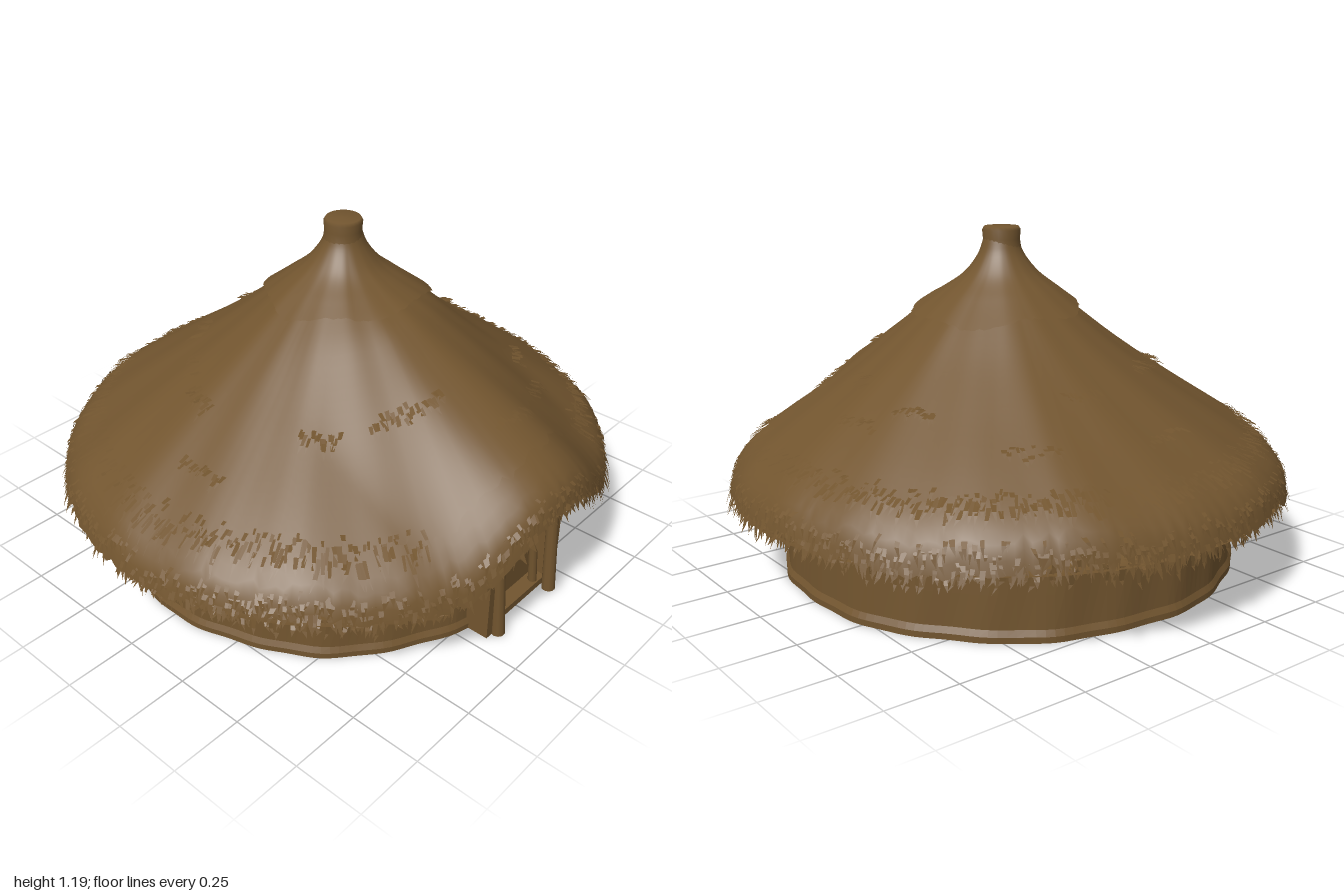
import * as THREE from 'three';
import { mergeVertices } from 'three/addons/utils/BufferGeometryUtils.js';

const thatch = new THREE.MeshStandardMaterial({ color: 0x72552f, side: THREE.DoubleSide });
thatch.name = 'brown thatch and clay';

let seed = 7;
const rnd = () => (seed = (seed * 16807) % 2147483647) / 2147483647;
const range = (a, b) => a + (b - a) * rnd();

// Roof profile (radius, height) from peak to eave
const roofLine = new THREE.CatmullRomCurve3([
  [0.06, 1.14], [0.075, 1.09], [0.12, 1.02], [0.2, 0.945], [0.28, 0.875], [0.4, 0.775],
  [0.57, 0.648], [0.8, 0.485], [0.9, 0.41], [0.95, 0.355], [0.97, 0.285],
].map(([r, y]) => new THREE.Vector3(r, y, 0)), false, 'centripetal').getSpacedPoints(300);

// The eave sweeps up in an arch over the doorway on +x; the peak leans back a little
function settle(r, y, a) {
  const x = r * Math.cos(a), z = r * Math.sin(a);
  const side = Math.max(0, 1 - (z / 0.47) ** 2) ** 2;
  const out = Math.max(0, x) * THREE.MathUtils.smoothstep(r, 0.08, 0.35);
  return new THREE.Vector3(x, y + 0.19 * side * out, z * 1.015 - 0.04 * (1 - r));
}

// Point on the roof: t runs from peak (0) to eave (1), off lifts it from the surface
function onRoof(t, a, off = 0) {
  const f = Math.min(Math.max(t, 0), 1) * 300, i = Math.min(Math.floor(f), 299);
  const p = roofLine[i].clone().lerp(roofLine[i + 1], f - i);
  const over = Math.max(0, t - 1) * 1.3;
  const wave = 0.007 * t * (Math.sin(a * 7 + 1) + Math.sin(a * 17 + t * 5) * 0.7);
  return settle(p.x + off * 0.5 + over * 0.25, p.y + (off + wave) * 0.86 - over * 0.7, a);
}

// Smooth surface from a function of u and v
function surface(nu, nv, fn) {
  const pos = [], idx = [];
  for (let i = 0; i <= nu; i++) for (let j = 0; j <= nv; j++) pos.push(...fn(i / nu, j / nv, i, j).toArray());
  for (let i = 0; i < nu; i++) for (let j = 0; j < nv; j++) {
    const a = i * (nv + 1) + j, b = a + nv + 1;
    idx.push(a, a + 1, b, b, a + 1, b + 1);
  }
  const g = new THREE.BufferGeometry();
  g.setAttribute('position', new THREE.Float32BufferAttribute(pos, 3));
  g.setIndex(idx);
  const merged = mergeVertices(g, 1e-5);
  merged.computeVertexNormals();
  return merged;
}

// Thatch layer with a ragged lower edge, hanging further down at the back by 'rear'
function layer(t0, t1, lift, jag, rear = 0, n = 240) {
  const rag = Array.from({ length: n }, (_, i) => {
    const a = i / n * Math.PI * 2;
    return rnd() * jag + 0.012 * Math.sin(a * 5) - rear * Math.sin(a);
  });
  return surface(n, 24, (u, v, i) =>
    onRoof(t0 + (t1 + rag[i % n] - t0) * v, (i % n) / n * Math.PI * 2, lift * v));
}

// Loose straws: narrow tapering tufts lying down the slope, within an angle span
function straws(count, t0, t1, len0, len1, off0, off1, width, from = 0, to = Math.PI * 2) {
  const pos = [];
  for (let i = 0; i < count; i++) {
    const a = from + (i + rnd()) / count * (to - from), t = range(t0, t1), len = range(len0, len1);
    const w = width * range(0.6, 1.3), skew = range(-0.025, 0.025), tip = range(off0, off1);
    const l = onRoof(t, a - w, off0 * 0.6), r = onRoof(t, a + w, off0 * 0.6);
    const ml = onRoof(t + len * 0.6, a - w * 0.7 + skew * 0.4, tip);
    const mr = onRoof(t + len * 0.6, a + w * 0.7 + skew * 0.4, tip);
    const e = onRoof(t + len, a + skew, tip);
    for (const p of [l, r, ml, ml, r, mr, ml, mr, e]) pos.push(p.x, p.y, p.z);
  }
  const g = new THREE.BufferGeometry();
  g.setAttribute('position', new THREE.Float32BufferAttribute(pos, 3));
  g.computeVertexNormals();
  return g;
}

// Tapered pole between two points
function pole(a, b, r0, r1) {
  const d = b.clone().sub(a), g = new THREE.CylinderGeometry(r1, r0, d.length(), 10);
  g.applyQuaternion(new THREE.Quaternion().setFromUnitVectors(new THREE.Vector3(0, 1, 0), d.normalize()));
  return g.translate(...a.clone().add(b).multiplyScalar(0.5).toArray());
}

export function createModel() {
  const hut = new THREE.Group();
  hut.name = 'roundHut';
  const add = (name, geometry, parent = hut) => {
    const m = new THREE.Mesh(geometry, thatch);
    m.name = name;
    parent.add(m);
    return m;
  };

  // Thatched roof in overlapping layers
  const roof = new THREE.Group();
  roof.name = 'roof';
  hut.add(roof);
  add('lowerThatch', layer(0.1, 0.98, 0.012, 0.03), roof);
  add('middleThatch', layer(0.1, 0.8, 0.018, 0.03), roof);
  add('roofCap', layer(0, 0.265, 0.022, 0.01, 0.022, 120), roof);
  add('eaveFringe', straws(900, 0.9, 0.97, 0.04, 0.09, 0.008, 0.022, 0.009), roof);
  add('eaveUnderFringe', straws(600, 0.95, 0.98, 0.03, 0.06, -0.06, 0.008, 0.01), roof);
  add('middleFringe', straws(560, 0.77, 0.85, 0.04, 0.09, 0.018, 0.03, 0.009, 0.5, Math.PI * 2 - 0.5), roof);
  // Small worn patches higher on the slope
  for (let i = 0; i < 16; i++) {
    const a = (i + rnd() * 0.6) / 16 * Math.PI * 2, t = range(0.45, 0.68);
    add('strawPatch', straws(14, t, t + 0.03, 0.03, 0.06, 0.018, 0.03, 0.013, a, a + 0.25), roof);
  }

  // Bound bundle on the peak
  const knob = new THREE.LatheGeometry([[0.085, 1.05], [0.07, 1.1], [0.064, 1.14], [0.067, 1.17],
    [0.06, 1.182], [0, 1.184]].map(([x, y]) => new THREE.Vector2(x, y)), 24);
  add('peakBundle', knob.translate(0, 0, -0.035), roof);

  // Underside of the roof, with a thick shaggy eave
  const under = [[0.965, 0.285], [0.89, 0.275], [0.83, 0.33], [0.755, 0.425], [0.42, 0.715], [0.1, 0.995], [0, 1.04]];
  add('ceiling', surface(120, 6, (u, v, i, j) => settle(...under[j], (i % 120) / 120 * Math.PI * 2)), roof);

  // Rafters
  const rafters = new THREE.Group();
  rafters.name = 'rafters';
  hut.add(rafters);
  for (let i = 0; i < 16; i++) {
    const a = (i + 0.5) / 16 * Math.PI * 2;
    add('rafter', pole(settle(0.755, 0.395, a), settle(0.1, 0.96, a), 0.017, 0.012), rafters);
  }

  // Clay wall, open at the doorway, with a low step inside
  const gap = 0.235;
  const section = [[0.765, 0], [0.797, 0], [0.797, 0.02], [0.787, 0.04], [0.783, 0.15], [0.778, 0.28],
    [0.772, 0.44], [0.742, 0.44], [0.742, 0.17], [0.76, 0.16], [0.765, 0]];
  const wall = surface(160, 10, (u, v, i, j) => {
    const a = gap + u * (Math.PI * 2 - gap * 2), [r, y] = section[j];
    const bump = 0.005 * Math.sin(a * 9) + 0.003 * Math.sin(a * 23 + y * 6);
    return new THREE.Vector3((r + bump) * Math.cos(a), y, (r + bump) * Math.sin(a) * 1.015);
  }).toNonIndexed();
  wall.computeVertexNormals();
  add('wall', wall);

  // Low benches against the inside of the wall
  for (const [a, w] of [[1.28, 0.16], [1.92, 0.18], [3.14, 0.24]]) {
    const bench = add('bench', new THREE.BoxGeometry(0.1, 0.06, w));
    bench.position.set(Math.cos(a) * 0.71, 0.13, Math.sin(a) * 0.71);
    bench.rotation.y = -a;
  }

  // Porch at the doorway: cheeks, posts, gable, panel and sill
  const porch = new THREE.Group();
  porch.name = 'porch';
  hut.add(porch);
  for (const s of [-1, 1]) {
    add('porchCheek', new THREE.BoxGeometry(0.11, 0.46, 0.03).translate(0.795, 0.23, s * 0.185), porch);
    add('doorPost', pole(new THREE.Vector3(0.86, 0, s * 0.15),
      new THREE.Vector3(0.84, 0.39, s * 0.155), 0.024, 0.02), porch);
    add('postTop', new THREE.SphereGeometry(0.032, 12, 8).scale(1, 0.8, 1).translate(0.84, 0.385, s * 0.155), porch);
    add('innerPost', pole(new THREE.Vector3(0.81, 0, s * 0.125),
      new THREE.Vector3(0.8, 0.39, s * 0.1), 0.016, 0.014), porch);
  }
  add('gable', new THREE.BoxGeometry(0.03, 0.14, 0.36).translate(0.805, 0.44, 0), porch);
  add('doorPanel', new THREE.BoxGeometry(0.025, 0.38, 0.34).translate(0.765, 0.21, 0), porch);
  add('doorSill', new THREE.BoxGeometry(0.08, 0.025, 0.34).translate(0.79, 0.0125, 0), porch);

  return hut;
}
